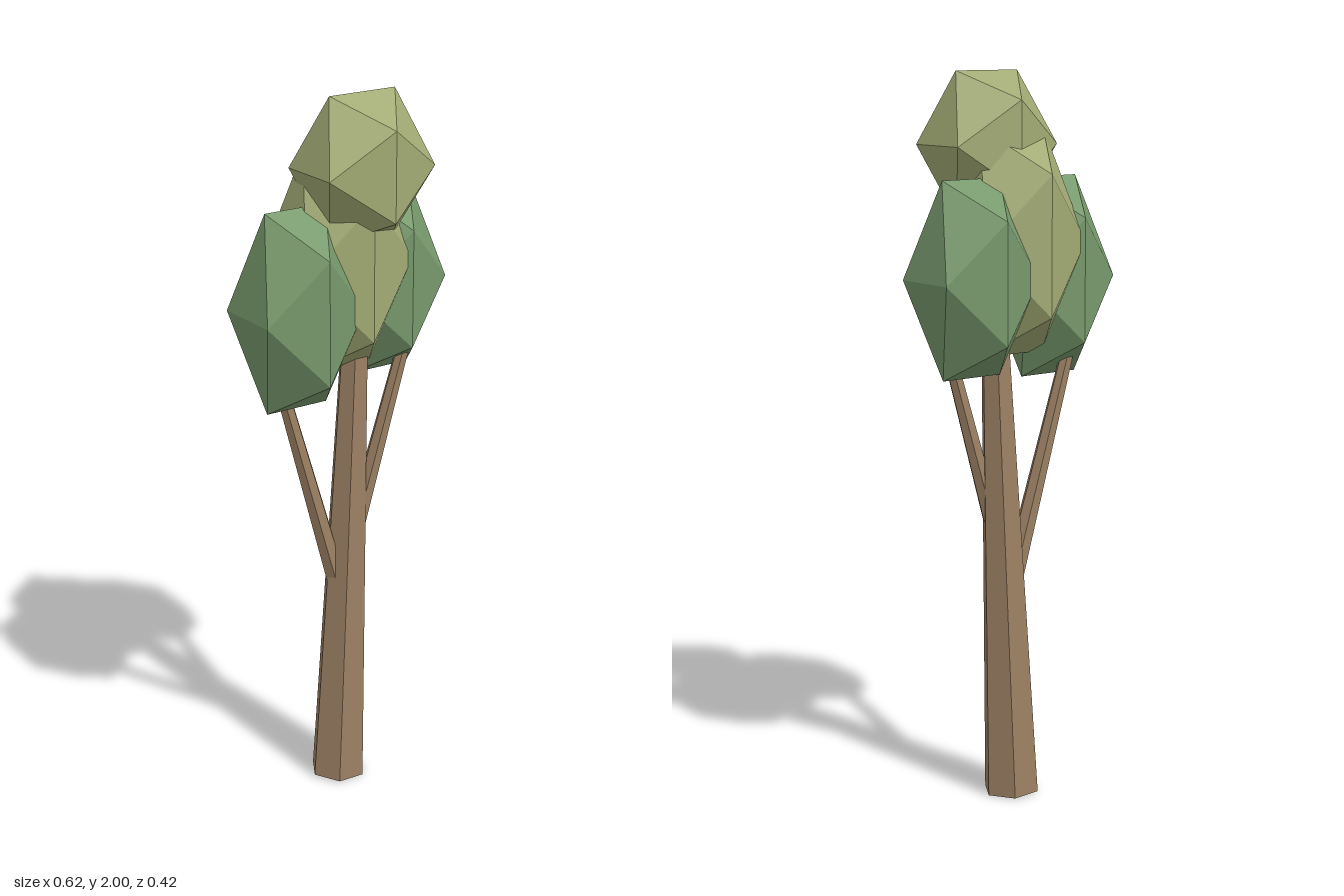
import * as THREE from 'three';

export function createModel() {
  const tree = new THREE.Group();
  tree.name = 'tree';

  const bark = new THREE.MeshStandardMaterial({ color: 0x9c8064 });
  bark.name = 'bark brown';
  const darkLeaf = new THREE.MeshStandardMaterial({ color: 0x789a6d });
  darkLeaf.name = 'leaf green';
  const lightLeaf = new THREE.MeshStandardMaterial({ color: 0xa3ac75 });
  lightLeaf.name = 'light olive leaf';

  // Tapered six-sided limb running between two points, with faceted sides
  function limb(name, from, to, r0, r1) {
    const a = new THREE.Vector3(...from), b = new THREE.Vector3(...to);
    const dir = b.clone().sub(a);
    const indexed = new THREE.CylinderGeometry(r1, r0, dir.length(), 6);
    indexed.rotateY(Math.PI / 6);
    const geo = indexed.toNonIndexed();
    geo.computeVertexNormals();
    const mesh = new THREE.Mesh(geo, bark);
    mesh.name = name;
    mesh.position.copy(a).add(b).multiplyScalar(0.5);
    mesh.quaternion.setFromUnitVectors(new THREE.Vector3(0, 1, 0), dir.normalize());
    tree.add(mesh);
  }

  // Faceted leaf clump: a stretched icosahedron
  function clump(name, material, center, radii) {
    const geo = new THREE.IcosahedronGeometry(1, 0);
    geo.scale(...radii);
    geo.computeVertexNormals();
    const mesh = new THREE.Mesh(geo, material);
    mesh.name = name;
    mesh.position.set(...center);
    tree.add(mesh);
  }

  // Trunk and its two forks
  limb('trunk', [-0.005, 0.004, -0.015], [0.048, 1.32, -0.01], 0.08, 0.039);
  limb('rightBranch', [-0.005, 0.6, -0.015], [-0.19, 1.3, -0.05], 0.03, 0.018);
  limb('leftBranch', [0.03, 0.72, 0.0], [0.18, 1.32, 0.045], 0.028, 0.018);

  // Foliage
  clump('rightFoliage', darkLeaf, [-0.16, 1.443, 0.021], [0.177, 0.32, 0.187]);
  clump('leftFoliage', darkLeaf, [0.158, 1.462, -0.053], [0.178, 0.308, 0.184]);
  clump('middleFoliage', lightLeaf, [-0.005, 1.548, -0.016], [0.199, 0.358, 0.202]);
  clump('topFoliage', lightLeaf, [0.025, 1.806, 0.0545], [0.194, 0.228, 0.178]);

  return tree;
}
